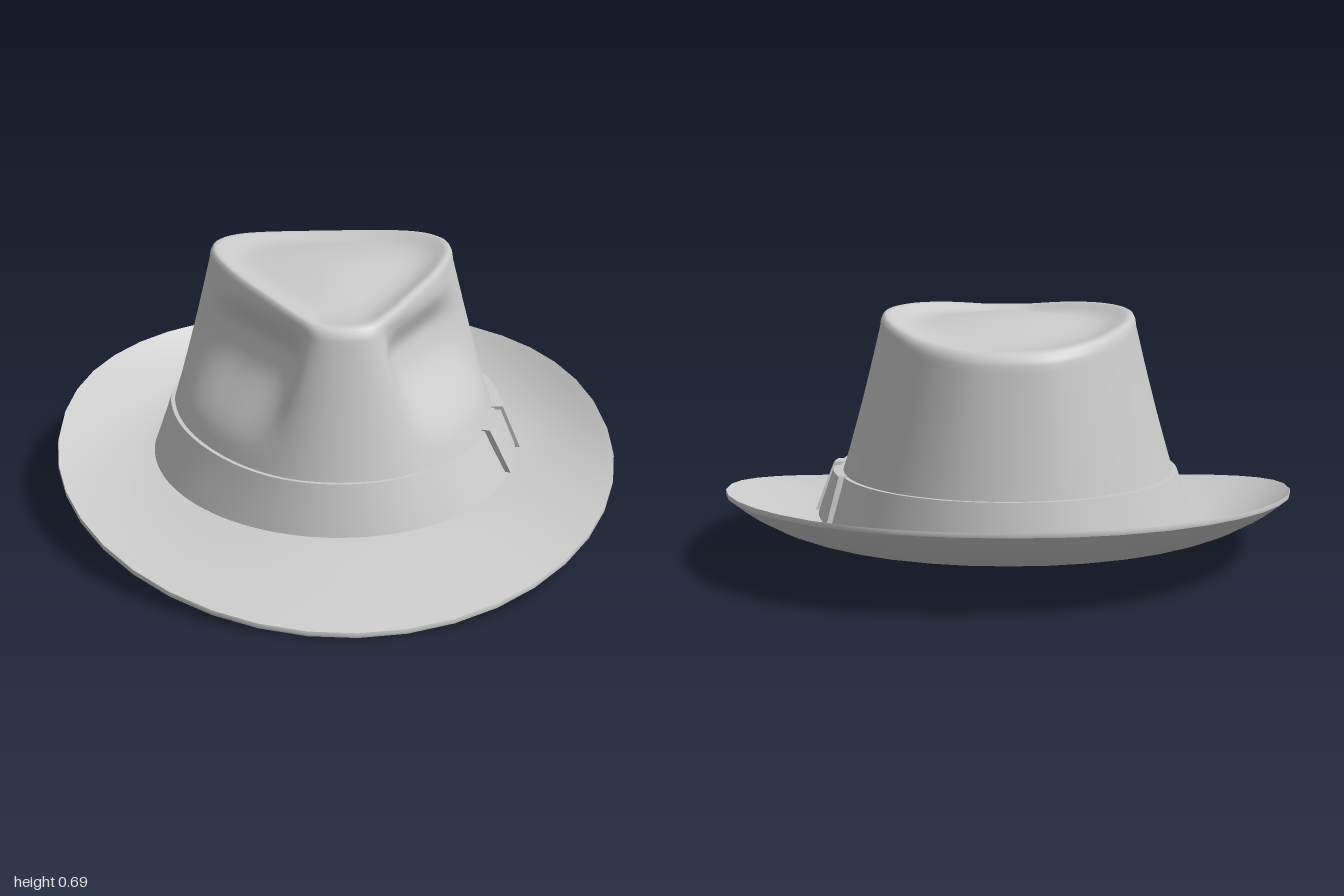
import * as THREE from 'three';

const { lerp, smoothstep, degToRad } = THREE.MathUtils;
const SEG = 108;
const material = new THREE.MeshStandardMaterial({ color: 0xcccccc, side: THREE.DoubleSide });

// Surface from rows of closed loops; a repeated row or column makes a hard edge.
function loft(name, rows, cols, point) {
  const pos = [], idx = [];
  for (let i = 0; i < rows; i++)
    for (let j = 0; j < cols; j++) pos.push(...point(i, j));
  for (let i = 0; i < rows - 1; i++)
    for (let j = 0; j < cols; j++) {
      const k = (j + 1) % cols;
      const a = i * cols + j, b = i * cols + k, c = a + cols, d = b + cols;
      idx.push(a, b, c, b, d, c);
    }
  const geo = new THREE.BufferGeometry();
  geo.setAttribute('position', new THREE.Float32BufferAttribute(pos, 3));
  geo.setIndex(idx);
  geo.computeVertexNormals();
  const mesh = new THREE.Mesh(geo, material);
  mesh.name = name;
  return mesh;
}

// Egg-shaped head opening; angle 0 is the front, 90 degrees is +x.
function headOval(a) {
  const c = Math.cos(a);
  return [0.515 * Math.sin(a), -0.1 + (c > 0 ? 0.69 : 0.58) * c];
}

// Teardrop crest of the crown, pointed towards the front.
const half = [[0, 0.47], [0.07, 0.455], [0.115, 0.4], [0.2, 0.25], [0.28, 0.08],
  [0.335, -0.13], [0.32, -0.32], [0.24, -0.48], [0.12, -0.57], [0, -0.59]];
const loop = [...half, ...half.slice(1, -1).reverse().map(([x, z]) => [-x, z])];
const teardrop = new THREE.CatmullRomCurve3(
  loop.map(([x, z]) => new THREE.Vector3(x, 0, z)), true, 'centripetal');

function crest(a, scale) {
  const p = teardrop.getPoint((a / (2 * Math.PI)) % 1);
  return [p.x * scale, -0.06 + (p.z + 0.06) * scale];
}

function crestHeight(z) {
  const d = z + 0.08;
  return 0.688 - (d > 0 ? 0.142 : 0.26) * d * d;
}

// Crown wall from the head oval up to the teardrop, with a pinch on each front side.
function wallTop(a) {
  return crestHeight(crest(a, 1)[1]) - 0.035;
}

function wall(a, y, out = 0) {
  const t = Math.pow(Math.max(0, (y - 0.1) / (wallTop(a) - 0.1)), 0.9);
  const o = headOval(a), r = crest(a, 1.05);
  const side = Math.sin(a) < 0 ? -1 : 1;
  const deg = Math.acos(Math.cos(a)) * 180 / Math.PI;
  const dent = 0.065 * smoothstep(deg, 26, 52) * (1 - smoothstep(deg, 68, 98))
    * smoothstep(y, 0.28, 0.48) * (1 - smoothstep(y, 0.52, 0.645));
  return [
    lerp(o[0], r[0], t) - side * 0.92 * dent + out * Math.sin(a),
    y,
    lerp(o[1], r[1], t) - 0.385 * dent + out * Math.cos(a),
  ];
}

function makeCrown() {
  const wallRows = 30;
  // Rounded crest and shallow dish: scale of the teardrop, height below the crest
  const top = [[1.043, 0.016], [1.025, 0.004], [1, 0], [0.96, 0.004], [0.9, 0.014], [0.83, 0.024],
    [0.74, 0.031], [0.62, 0.031], [0.48, 0.026], [0.3, 0.021], [0.15, 0.018], [0, 0.018]];
  return loft('crown', wallRows + 1 + top.length, SEG, (i, j) => {
    const a = j / SEG * 2 * Math.PI;
    if (i <= wallRows) return wall(a, lerp(0.088, wallTop(a), i / wallRows));
    const [scale, drop] = top[i - wallRows - 1];
    const [x, z] = crest(a, scale);
    return [x, crestHeight(z) - drop, z];
  });
}

// Brim: dips at the front, curls up at the sides and back.
function makeBrim() {
  const cols = 40, steps = 12;
  const path = [];
  for (let i = 0; i <= steps; i++) path.push([i / steps, -0.01]);
  path.push([1, -0.01], [1.004, -0.004], [1, 0.003], [1, 0.003]);
  for (let i = steps; i >= 0; i--) path.push([i / steps, 0.003]);
  return loft('brim', path.length, cols, (i, j) => {
    const a = j / cols * 2 * Math.PI, c = Math.cos(a), s = Math.sin(a);
    const [u, dy] = path[i];
    const e = c > 0 ? 1 : 0.9;
    const ox = 0.8 * Math.sign(s) * Math.pow(Math.abs(s), e);
    const oz = Math.sign(c) * Math.pow(Math.abs(c), e);
    const edge = 0.165 - 0.1075 * oz - 0.0475 * oz * oz;
    const power = lerp(2.3, 1.35, smoothstep(c, -0.6, 1));
    const [hx, hz] = headOval(a);
    const y = 0.098 + (edge - 0.098) * Math.pow(Math.min(u, 1), power);
    return [lerp(hx, ox, u), y + dy, lerp(hz, oz, u)];
  });
}

// Ribbon band around the foot of the crown
function makeBand() {
  const path = [[0.095, 0.014], [0.14, 0.014], [0.19, 0.013], [0.24, 0.012], [0.24, 0.012], [0.24, -0.004]];
  return loft('hatBand', path.length, SEG, (i, j) =>
    wall(j / SEG * 2 * Math.PI, path[i][0], path[i][1]));
}

// Strip of the bow, bent round the band; height and thickness may vary along it.
function bowPiece(name, from, to, low, high, out, pinch) {
  const steps = 12;
  return loft(name, steps + 5, 8, (i, j) => {
    const k = Math.min(Math.max(i - 2, 0), steps) / steps;
    const a = degToRad(lerp(from, to, k));
    const taper = pinch(k);
    const bottom = low + taper, top = high - taper;
    if (i === 0 || i === steps + 4) return wall(a, (bottom + top) / 2, out / 2);
    const corner = j >> 1;
    return wall(a, corner === 0 || corner === 3 ? top : bottom, corner < 2 ? out : 0.004);
  });
}

function makeBow() {
  const bow = new THREE.Group();
  bow.name = 'bow';
  bow.add(
    bowPiece('frontBowLoop', 66, 85, 0.112, 0.244, 0.029, (k) => 0.012 * k * k),
    bowPiece('backBowLoop', 87, 112, 0.112, 0.244, 0.029, (k) => 0.012 * (1 - k) ** 2),
    bowPiece('bowKnot', 83.5, 88.5, 0.108, 0.243, 0.039, () => 0),
  );
  return bow;
}

export function createModel() {
  const hat = new THREE.Group();
  hat.name = 'hat';
  hat.add(makeCrown(), makeBrim(), makeBand(), makeBow());
  return hat;
}
